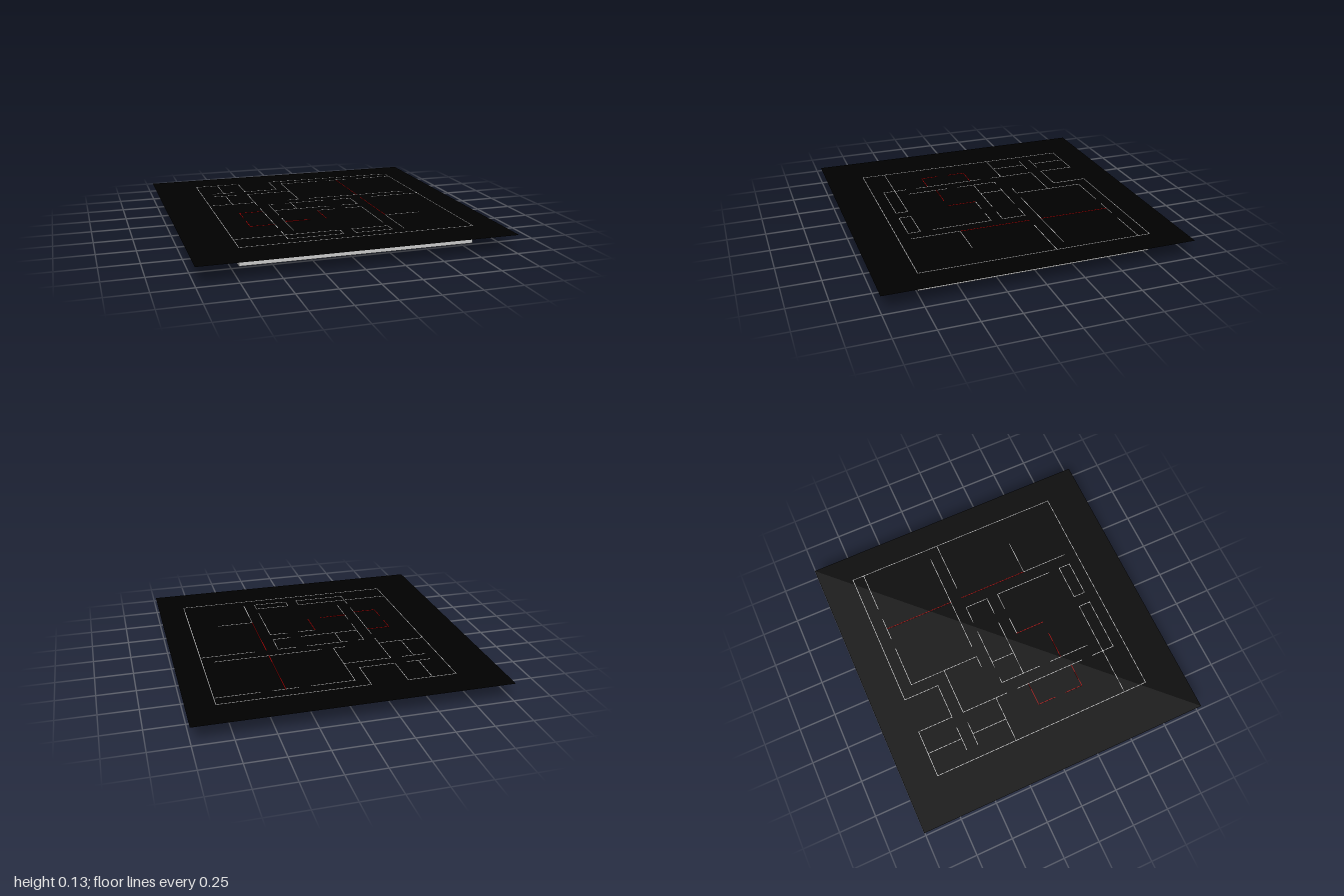
import * as THREE from 'three';

const FLOOR_Y = 0.008, TOP_Y = 0.125, HEIGHT = TOP_Y - FLOOR_Y, THICK = 0.004;

const mat = (color, side = THREE.FrontSide) => new THREE.MeshStandardMaterial({ color, side });

// Walls running along x: z position, then [start, end] spans
const alongX = [
  [-0.78, [-0.70, -0.38], [-0.14, 0.82]],
  [-0.70, [-0.06, 0.22], [0.30, 0.46], [0.54, 0.82]],
  [-0.54, [-0.62, -0.46], [-0.38, -0.14]],
  [-0.46, [-0.62, -0.46], [-0.38, -0.06]],
  [-0.22, [-0.70, -0.38], [-0.14, -0.06], [0.02, 0.74]],
  [-0.14, [-0.30, -0.26], [-0.18, 0.10], [0.18, 0.30], [0.46, 0.82]],
  [0.02, [-0.30, 0.10], [0.18, 0.30]],
  [0.10, [-0.02, 0.10], [0.18, 0.30]],
  [0.34, [0.38, 0.62]],
  [0.58, [-0.70, -0.02], [0.06, 0.30]],
  [0.66, [-0.38, -0.02], [0.06, 0.30]],
  [0.74, [-0.70, 0.82]],
];

// Walls running along z: x position, then [start, end] spans
const alongZ = [
  [-0.70, [-0.78, 0.74]],
  [-0.54, [-0.78, -0.54], [-0.46, -0.22]],
  [-0.38, [-0.78, -0.54], [-0.46, -0.14], [-0.06, 0.42], [0.50, 0.66]],
  [-0.30, [-0.14, 0.14], [0.22, 0.50]],
  [-0.14, [-0.78, -0.54], [-0.14, 0.02]],
  [-0.06, [-0.70, -0.22]],
  [-0.02, [0.58, 0.66]],
  [0.06, [0.58, 0.66]],
  [0.30, [-0.14, 0.02], [0.10, 0.50], [0.58, 0.66]],
  [0.38, [0.34, 0.66]],
  [0.82, [-0.78, 0.74]],
];

// Red partitions in the same form
const redAlongX = [[0.02, [-0.54, -0.38]], [0.34, [-0.54, -0.38]]];
const redAlongZ = [
  [-0.54, [0.02, 0.14], [0.22, 0.34]],
  [-0.02, [0.10, 0.30]],
  [0.38, [-0.70, -0.22], [-0.14, 0.34]],
];

// Floor rectangles: x0, x1, z0, z1
const rooms = [
  [-0.70, -0.38, -0.78, -0.54], [-0.70, -0.06, -0.46, -0.22],
  [-0.06, 0.82, -0.70, -0.22], [-0.70, -0.38, -0.22, 0.74],
  [-0.14, 0.30, -0.14, 0.02], [-0.30, -0.02, 0.02, 0.10],
  [-0.30, 0.30, 0.10, 0.58], [0.38, 0.82, -0.14, 0.74],
];
const corridors = [
  [-0.14, 0.82, -0.78, -0.70], [-0.14, -0.06, -0.70, -0.54],
  [-0.70, -0.06, -0.54, -0.46], [-0.38, 0.82, -0.22, -0.14],
  [-0.38, -0.30, -0.14, 0.58], [0.30, 0.38, -0.14, 0.66],
  [-0.02, 0.30, 0.02, 0.10], [-0.02, 0.06, 0.58, 0.66],
  [-0.38, 0.38, 0.66, 0.74],
];
const smallRoom = [[-0.30, -0.14, -0.14, 0.02]];

function addWalls(parent, name, rows, horizontal, material) {
  for (const [pos, ...spans] of rows) {
    for (const [a, b] of spans) {
      const len = b - a + THICK, mid = (a + b) / 2;
      const geo = horizontal
        ? new THREE.BoxGeometry(len, HEIGHT, THICK)
        : new THREE.BoxGeometry(THICK, HEIGHT, len);
      const wall = new THREE.Mesh(geo, material);
      wall.name = name;
      wall.position.set(horizontal ? mid : pos, FLOOR_Y + HEIGHT / 2, horizontal ? pos : mid);
      parent.add(wall);
    }
  }
}

function addPlane(parent, name, [x0, x1, z0, z1], y, material) {
  const plane = new THREE.Mesh(new THREE.PlaneGeometry(x1 - x0, z1 - z0), material);
  plane.name = name;
  plane.rotation.x = -Math.PI / 2;
  plane.position.set((x0 + x1) / 2, y, (z0 + z1) / 2);
  parent.add(plane);
}

export function createModel() {
  const model = new THREE.Group();
  model.name = 'mazeBuilding';

  // Walls
  const walls = new THREE.Group();
  walls.name = 'walls';
  const grey = mat(0xcccccc);
  addWalls(walls, 'wall', alongX, true, grey);
  addWalls(walls, 'wall', alongZ, false, grey);
  model.add(walls);

  // Red partitions, one of them slightly tilted
  const partitions = new THREE.Group();
  partitions.name = 'redPartitions';
  const red = mat(0xaa0000);
  addWalls(partitions, 'partition', redAlongX, true, red);
  addWalls(partitions, 'partition', redAlongZ, false, red);
  const tilted = new THREE.Mesh(new THREE.BoxGeometry(0.28, HEIGHT, THICK), red);
  tilted.name = 'tiltedPartition';
  tilted.position.set(-0.16, FLOOR_Y + HEIGHT / 2, 0.30);
  tilted.rotation.z = -0.04;
  partitions.add(tilted);
  model.add(partitions);

  // Floors
  const floors = new THREE.Group();
  floors.name = 'floors';
  for (const [name, list, color] of [
    ['roomFloor', rooms, 0x2f4f4f],
    ['corridorFloor', corridors, 0x4f1a3a],
    ['smallRoomFloor', smallRoom, 0x40380f],
  ]) {
    const material = mat(color, THREE.DoubleSide);
    list.forEach((rect) => addPlane(floors, name, rect, FLOOR_Y, material));
  }
  model.add(floors);

  // Black ceiling sheet, just under the wall tops
  addPlane(model, 'ceiling', [-1, 1, -1, 1], TOP_Y - 0.002, mat(0x000000, THREE.DoubleSide));

  return model;
}
